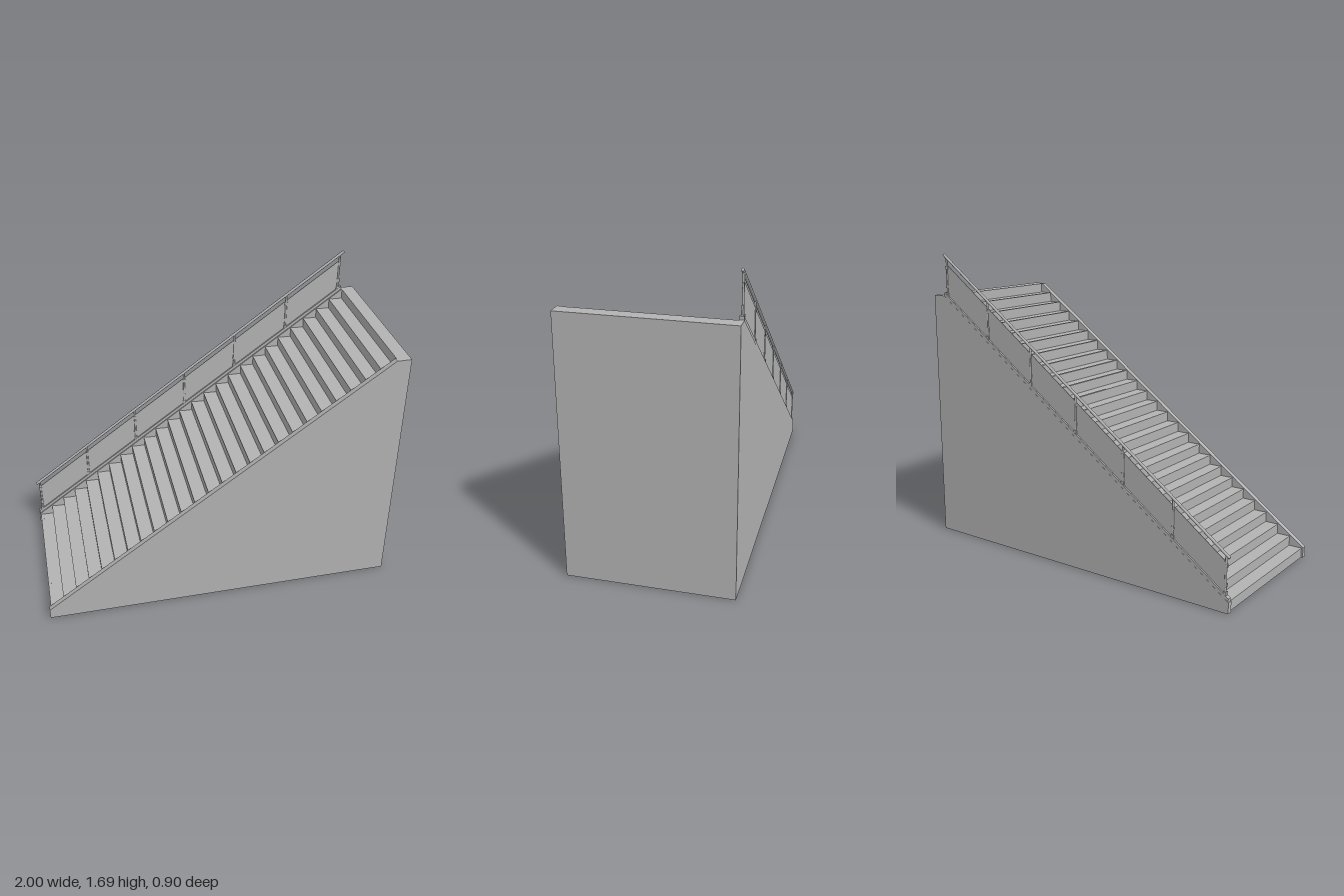
import * as THREE from 'three';

export function createModel() {
  const group = new THREE.Group();
  const concrete = new THREE.MeshStandardMaterial({ color: 0xb2b2b2 });
  concrete.name = 'concrete grey';

  const add = (name, geometry, x = 0, y = 0, z = 0, parent = group) => {
    const mesh = new THREE.Mesh(geometry, concrete);
    mesh.name = name;
    mesh.position.set(x, y, z);
    parent.add(mesh);
    return mesh;
  };
  // Extrude an x-y outline between two z values
  const slab = (name, points, z0, z1, parent = group) => {
    const shape = new THREE.Shape(points.map(([x, y]) => new THREE.Vector2(x, y)));
    const geometry = new THREE.ExtrudeGeometry(shape, { depth: z1 - z0, bevelEnabled: false });
    return add(name, geometry, 0, 0, z0, parent);
  };

  const top = 1.45, half = 0.45, wall = 0.03, landingX = 0.92;
  const slope = (top - 0.06) / (landingX + 1);
  const pitch = x => 0.06 + slope * (x + 1);

  // Side walls, whose sloping tops form the curbs
  const outline = [[-1, 0], [1, 0], [1, top], [landingX, top], [-1, 0.06]];
  slab('frontWall', outline, half - wall, half);
  slab('backWall', outline, -half, -half + wall);

  // Tall end wall
  add('endWall', new THREE.BoxGeometry(wall, top, 2 * (half - wall)), 1 - wall / 2, top / 2, 0);

  // Folded sheet of risers and treads, open underneath
  const count = 26, rise = top / count, going = 0.0766, thick = 0.012;
  const stepX = k => -0.99 + going * (k - 1);
  const upper = [], lower = [];
  for (let k = 1; k <= count; k++) {
    upper.push([stepX(k), (k - 1) * rise], [stepX(k), k * rise]);
    lower.push([stepX(k) + thick, Math.max(0, (k - 1) * rise - thick)],
      [stepX(k) + thick, k * rise - thick]);
  }
  upper.push([1 - wall, top]);
  lower.push([1 - wall, top - thick]);
  slab('steps', [...upper, ...lower.reverse()], -half + wall, half - wall);

  // Raised strip along the front of each tread
  for (let k = 1; k < count; k++) {
    add('nosing', new THREE.BoxGeometry(0.016, 0.003, 2 * (half - wall)),
      stepX(k) + 0.006, k * rise + 0.0005, 0);
  }

  // Railing on the back curb
  const railing = new THREE.Group();
  railing.name = 'railing';
  group.add(railing);
  const railZ = -0.438;
  const railY = x => 0.289 + 0.7265 * (x + 1);
  const band = (name, x0, x1, low, high, depth) => slab(name,
    [[x0, low(x0)], [x1, low(x1)], [x1, high(x1)], [x0, high(x0)]],
    railZ - depth / 2, railZ + depth / 2, railing);

  band('baseRail', -0.998, landingX, x => pitch(x) - 0.005, x => pitch(x) + 0.02, 0.022);

  // Sloping handrail
  const a = new THREE.Vector3(-0.995, railY(-0.995), railZ);
  const b = new THREE.Vector3(0.922, railY(0.922), railZ);
  const handrail = add('handrail', new THREE.CylinderGeometry(0.008, 0.008, a.distanceTo(b), 12),
    0, 0, 0, railing);
  handrail.position.copy(a).lerp(b, 0.5);
  handrail.quaternion.setFromUnitVectors(new THREE.Vector3(0, 1, 0), b.clone().sub(a).normalize());

  // Posts with feet and panel clips, and a panel in each bay
  const bays = 6, firstX = -0.975, spacing = 0.3125;
  for (let i = 0; i <= bays; i++) {
    const x = firstX + i * spacing;
    const y0 = pitch(x), y1 = railY(x);
    add('post', new THREE.CylinderGeometry(0.006, 0.006, y1 - y0, 10), x, (y0 + y1) / 2, railZ, railing);
    add('postFoot', new THREE.BoxGeometry(0.018, 0.02, 0.018), x, y0 + 0.024, railZ, railing);
    for (const t of [0.3, 0.75]) {
      add('panelClip', new THREE.BoxGeometry(0.018, 0.02, 0.01), x, y0 + (y1 - y0) * t, railZ, railing);
    }
    if (i < bays) {
      band('panel', x + 0.004, x + spacing - 0.004,
        u => pitch(u) + 0.015, u => railY(u) - 0.038, 0.004);
    }
  }
  return group;
}
